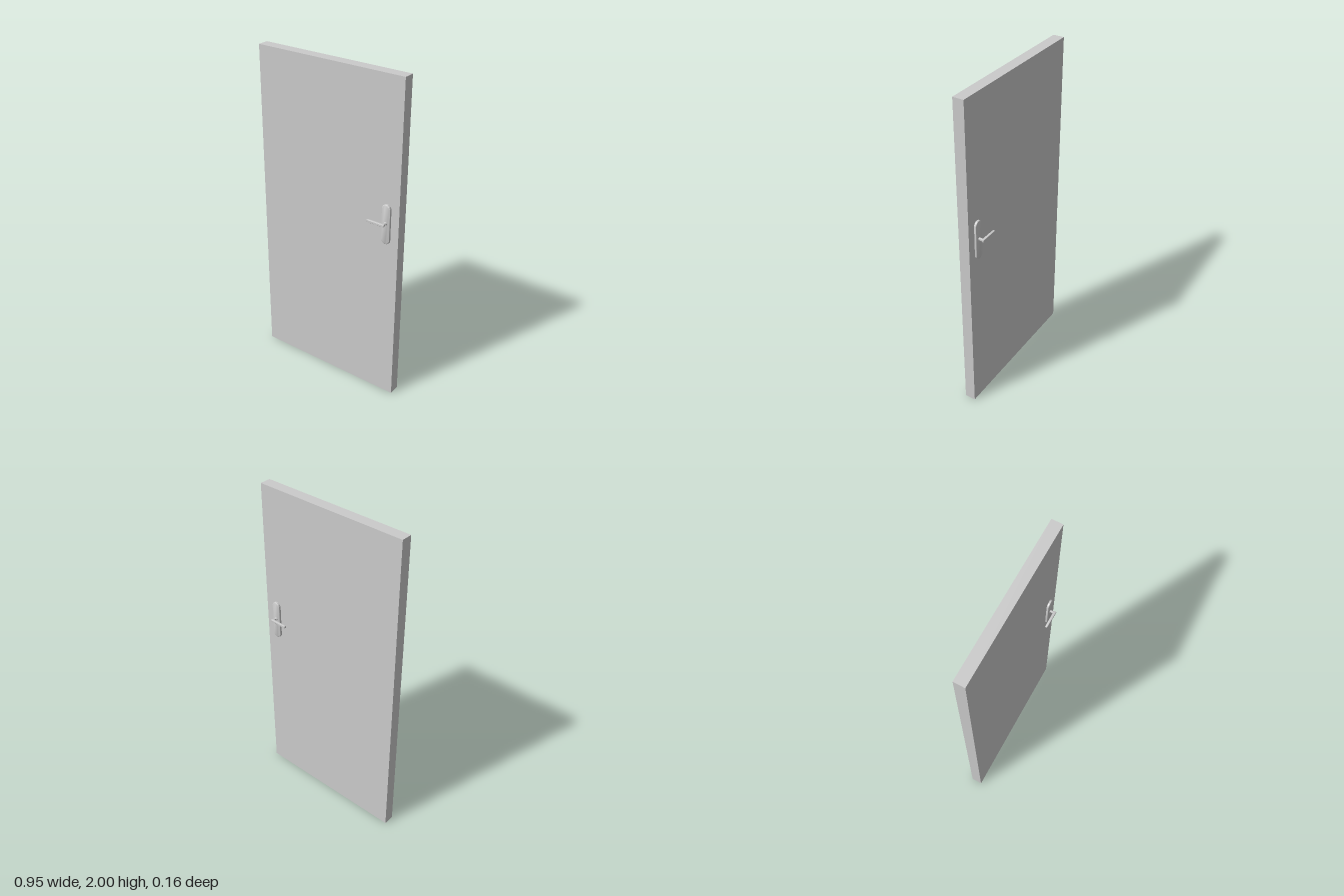
import * as THREE from 'three';
import { toCreasedNormals } from 'three/addons/utils/BufferGeometryUtils.js';

const WIDTH = 0.953, HEIGHT = 2, THICK = 0.066;
const HANDLE_X = 0.398, PLATE_Y = 1.153, LEVER_Y = 1.161;

// Long plate with round ends and a rounded outer rim, back on z = 0
function plateGeometry() {
  const bevel = 0.006, r = 0.028 - bevel, h = 0.122 - bevel - r;
  const shape = new THREE.Shape();
  shape.absarc(0, h, r, 0, Math.PI, false);
  shape.absarc(0, -h, r, Math.PI, Math.PI * 2, false);
  shape.closePath();
  const geo = new THREE.ExtrudeGeometry(shape, {
    depth: 0.0075, bevelSize: bevel, bevelThickness: bevel, bevelSegments: 4, curveSegments: 16,
  });
  return toCreasedNormals(geo, 0.7);
}

// L-shaped lever: a neck out of the plate and a grip towards -x
function leverGeometry() {
  const b = 0.004;
  const outline = [[0.007, 0], [0.007, 0.032], [0.011, 0.036], [0.011, 0.048],
    [-0.101, 0.047], [-0.101, 0.033], [-0.005, 0.032], [-0.005, 0]];
  const geo = new THREE.ExtrudeGeometry(
    new THREE.Shape(outline.map(([x, z]) => new THREE.Vector2(x, -z))),
    { depth: 0.008, bevelSize: b, bevelOffset: -b, bevelThickness: b, bevelSegments: 4 });
  geo.translate(0, 0, -0.004);
  geo.rotateX(-Math.PI / 2); // outline's second axis becomes depth
  return toCreasedNormals(geo, 0.7);
}

export function createModel() {
  const model = new THREE.Group();
  model.name = 'door';
  const material = new THREE.MeshStandardMaterial({ color: 0xcccccc });

  const add = (parent, name, geo, x, y, z) => {
    const mesh = new THREE.Mesh(geo, material);
    mesh.name = name;
    mesh.position.set(x, y, z);
    parent.add(mesh);
    return mesh;
  };

  // The whole leaf stands very slightly ajar
  const leaf = new THREE.Group();
  leaf.name = 'doorLeaf';
  leaf.position.z = -0.005;
  leaf.rotation.y = -0.0074;
  model.add(leaf);

  add(leaf, 'doorPanel', new THREE.BoxGeometry(WIDTH, HEIGHT, THICK), 0, HEIGHT / 2, 0);

  // A handle on each side, turned half a circle about x for the back
  const plate = plateGeometry(), lever = leverGeometry();
  const collar = new THREE.CylinderGeometry(0.008, 0.01, 0.006, 20).rotateX(Math.PI / 2);
  for (const side of [1, -1]) {
    const handle = new THREE.Group();
    handle.name = side > 0 ? 'frontHandle' : 'backHandle';
    const face = side * THICK / 2;
    const parts = [
      add(handle, 'handlePlate', plate, HANDLE_X, PLATE_Y, face),
      add(handle, 'handleLever', lever, HANDLE_X, LEVER_Y, face),
      add(handle, 'handleCollar', collar, HANDLE_X + 0.001, LEVER_Y, face + side * 0.0165),
    ];
    if (side < 0) parts.forEach((p) => { p.rotation.x = Math.PI; });
    leaf.add(handle);
  }
  return model;
}
